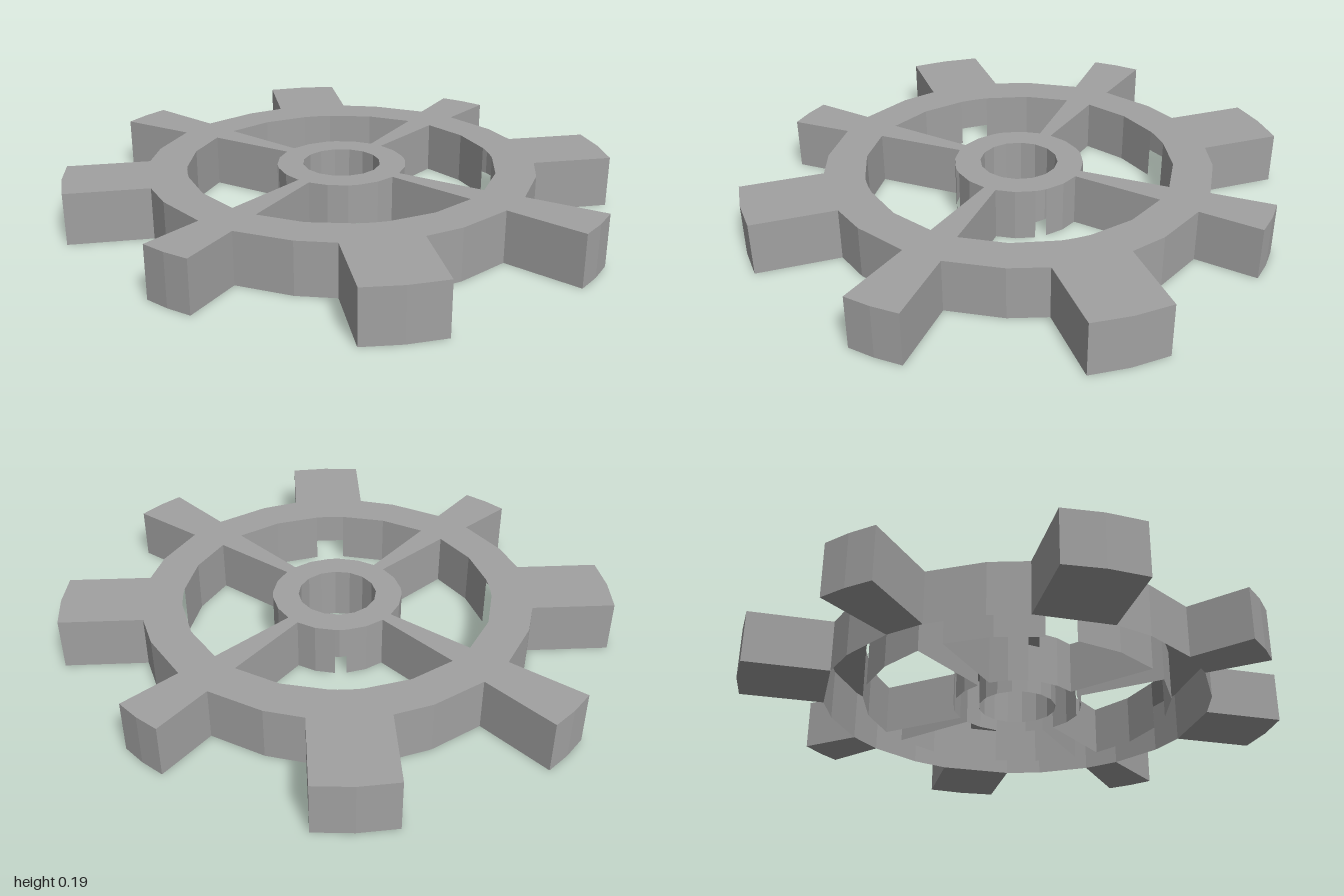
import * as THREE from 'three';

const H = 0.19;
const mat = new THREE.MeshStandardMaterial({ color: 0xa1a1a1, flatShading: true, side: THREE.DoubleSide });

// Point at a radius and an angle in degrees
const polar = (r, deg) => {
  const a = THREE.MathUtils.degToRad(deg);
  return new THREE.Vector2(r * Math.cos(a), r * Math.sin(a));
};
const arc = (r, degs) => degs.map(d => polar(r, d));

// Upright wall following a plan path
function wall(points) {
  const pos = [], idx = [];
  points.forEach((p, i) => {
    pos.push(p.x, 0, -p.y, p.x, H, -p.y);
    if (i) { const a = 2 * i - 2; idx.push(a, a + 2, a + 1, a + 1, a + 2, a + 3); }
  });
  const g = new THREE.BufferGeometry();
  g.setAttribute('position', new THREE.Float32BufferAttribute(pos, 3));
  g.setIndex(idx);
  const flat = g.toNonIndexed();
  flat.computeVertexNormals();
  return flat;
}

export function createModel() {
  const group = new THREE.Group();
  const add = (name, geometry, quarter = 0) => {
    const mesh = new THREE.Mesh(geometry, mat);
    mesh.name = name;
    mesh.rotation.y = quarter * Math.PI / 2;
    group.add(mesh);
  };

  // Plan outlines: rim, one window between two spokes, and the bore
  const rim = [];
  for (let q = 0; q < 4; q++) {
    rim.push(...arc(0.708, [5.7, 22.5, 33.8, 56.2, 67.5, 84.3].map(d => d + q * 90)));
  }
  const windowOuter = arc(0.564, [5, 22.5, 39.5, 42, 45, 48, 50.5, 67.5, 85]);
  const windowInner = arc(0.236, [84.5, 67.5, 50, 45, 40, 22.5, 5.5]);
  const bore = arc(0.142, Array.from({ length: 17 }, (_, i) => i * 22.5));

  // Top plate of rim, spokes and hub
  const plate = new THREE.Shape(rim);
  for (let q = 0; q < 4; q++) {
    const pts = [...windowOuter, ...windowInner].map(p =>
      p.clone().rotateAround(new THREE.Vector2(), q * Math.PI / 2));
    plate.holes.push(new THREE.Path(pts));
  }
  plate.holes.push(new THREE.Path(bore.slice(0, 16)));
  const top = new THREE.ShapeGeometry(plate);
  top.rotateX(-Math.PI / 2);
  top.translate(0, H, 0);
  add('wheelTop', top);
  add('boreWall', wall(bore));

  // Walls below the plate; the rim and hub are slotted on the diagonals
  for (let q = 0; q < 4; q++) {
    add('rimOuterWall', wall(rim.slice(0, 3)), q);
    add('rimOuterWall', wall(rim.slice(3, 6)), q);
    add('rimInnerWall', wall(windowOuter.slice(0, 3)), q);
    add('rimInnerWall', wall(windowOuter.slice(6)), q);
    add('hubWall', wall(windowInner.slice(0, 3)), q);
    add('hubWall', wall(windowInner.slice(4)), q);
    add('spokeWall', wall([windowOuter[0], windowInner[6]]), q);
    add('spokeWall', wall([windowOuter[8], windowInner[0]]), q);
  }

  // Solid teeth, each sharing its base corners with the rim
  const tooth = (name, from, tip, to, quarter) => {
    const shape = new THREE.Shape([from, ...tip.map(([x, y]) => new THREE.Vector2(x, y)), to]);
    const g = new THREE.ExtrudeGeometry(shape, { depth: H, bevelEnabled: false });
    g.rotateX(-Math.PI / 2);
    add(name, g, quarter);
  };
  for (let q = 0; q < 4; q++) {
    const end = q % 2 ? 0.938 : 1, w = q % 2 ? 0.09 : 0.097;
    tooth('straightTooth', polar(0.708, -5.7), [[end - 0.006, -w], [end, 0], [end - 0.006, w]], rim[0], q);
    tooth('diagonalTooth', rim[2], [[0.8, 0.605], [0.71, 0.71], [0.605, 0.8]], rim[3], q);
  }
  return group;
}
